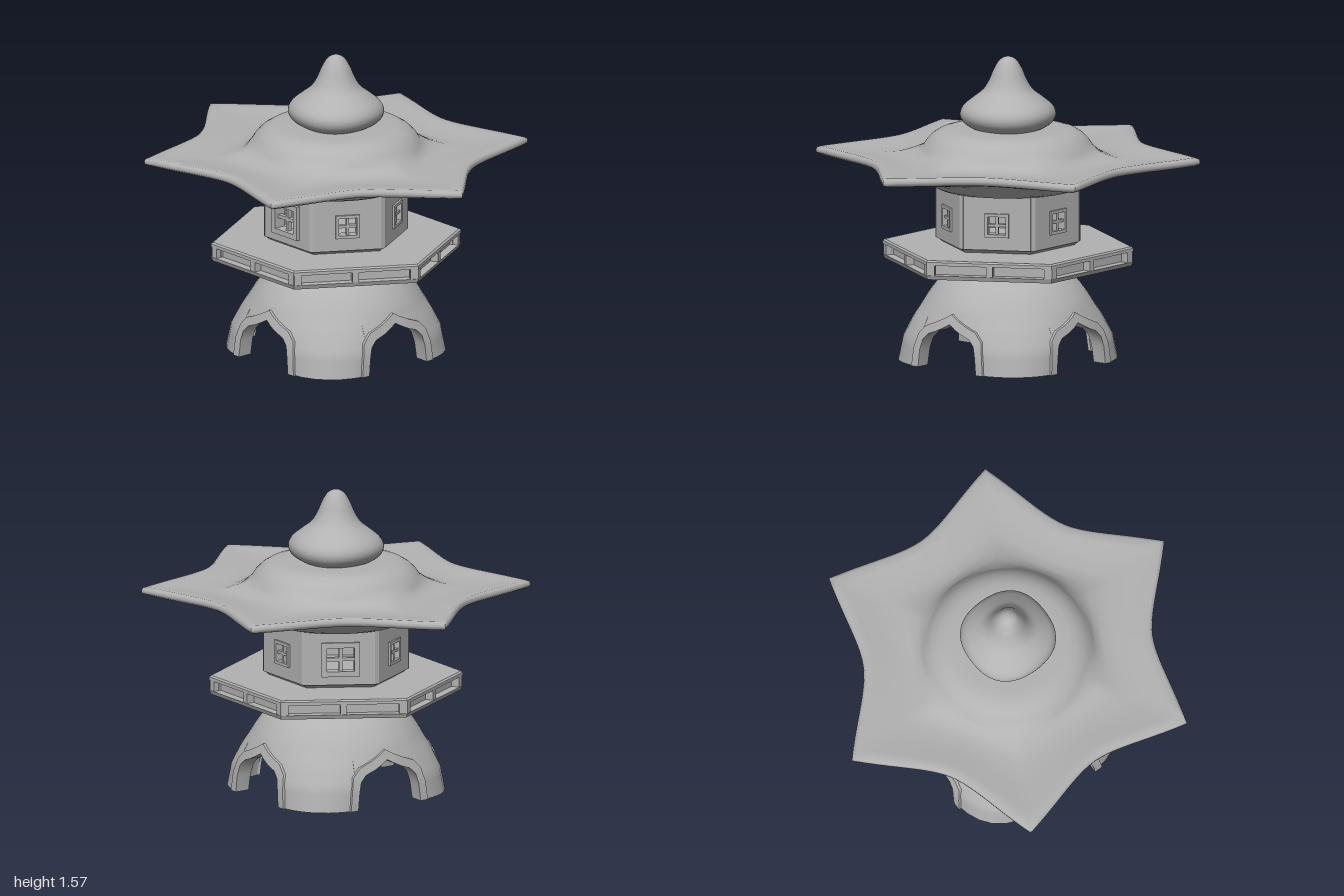
import * as THREE from 'three';
import { toCreasedNormals } from 'three/addons/utils/BufferGeometryUtils.js';

const stone = new THREE.MeshStandardMaterial({ color: 0xb2b2b2 });
stone.name = 'stone';

// piecewise-linear lookup through [key, value] pairs
function lookup(table, k) {
  if (k <= table[0][0]) return table[0][1];
  for (let i = 1; i < table.length; i++) {
    const [k0, v0] = table[i - 1], [k1, v1] = table[i];
    if (k <= k1) return v0 + (v1 - v0) * (k - k0) / (k1 - k0);
  }
  return table[table.length - 1][1];
}

const polar = (r, y, a) => new THREE.Vector3(r * Math.sin(a), y, r * Math.cos(a));

// skin a grid of cross-sections
function skin(cols, closeU, closeV, crease) {
  const nu = cols.length, nv = cols[0].length, index = [];
  for (let i = 0; i < nu - (closeU ? 0 : 1); i++) {
    for (let j = 0; j < nv - (closeV ? 0 : 1); j++) {
      const i2 = (i + 1) % nu, j2 = (j + 1) % nv;
      const a = i * nv + j, b = i2 * nv + j, c = i2 * nv + j2, d = i * nv + j2;
      index.push(a, b, c, a, c, d);
    }
  }
  const g = new THREE.BufferGeometry().setFromPoints(cols.flat());
  g.setIndex(index);
  g.computeVertexNormals();
  return toCreasedNormals(g, crease);
}

function add(parent, name, geometry) {
  const m = new THREE.Mesh(geometry, stone);
  m.name = name;
  parent.add(m);
  return m;
}

// six-sided slab with corners on the x axis
function hexSlab(parent, name, rTop, rBottom, y0, y1) {
  const g = new THREE.CylinderGeometry(rTop, rBottom, y1 - y0, 6).toNonIndexed();
  g.rotateY(Math.PI / 6).translate(0, (y0 + y1) / 2, 0);
  g.computeVertexNormals();
  return add(parent, name, g);
}

// Domed base: hollow shell on four legs, with a raised border round each arch
const domeProfile = [[0, 0.565], [0.12, 0.54], [0.22, 0.487], [0.28, 0.446], [0.34, 0.41], [0.39, 0.372],
  [0.43, 0.332], [0.455, 0.297], [0.47, 0.255], [0.478, 0.2]];
const archHalf = [[0.19, 0], [0.182, 0.09], [0.168, 0.145], [0.135, 0.178], [0.08, 0.198], [0.035, 0.22]];
const borderHalf = [[0.235, 0], [0.225, 0.1], [0.208, 0.17], [0.165, 0.215], [0.1, 0.24], [0.045, 0.265]];
const fullPath = (half, peak) => [...half.map(([x, y]) => [-x, y]), [0, peak], ...half.slice().reverse()];

// point on the dome wall, inset from its outer face; legs bulge at the diagonals.
// blend runs from the arch edge (0) to the next arch (1) for points on a leg
function domePoint(centre, x, y, inset, blend = 0, profileY = y) {
  const r = lookup(domeProfile, profileY) - inset;
  const flat = a => 1 - 0.155 * Math.max(0, 1 - y / 0.3) * Math.cos(2 * a) ** 2;
  const angle = radius => Math.asin(x / Math.max(radius, 0.36));
  let a = angle(r * flat(angle(r)));
  a += (Math.PI / 2 - 2 * a) * blend;
  return polar(r * flat(a), y, centre + a);
}

function buildBase(group) {
  const arch = fullPath(archHalf, 0.24), border = fullPath(borderHalf, 0.29);
  const cols = [], n = 16, edge = archHalf[0][0];
  for (let q = 0; q < 4; q++) {
    const centre = q * Math.PI / 2;
    const legs = [0.1, 0.2, 0.35, 0.5, 0.65, 0.8, 0.9].map(k => [edge, 0, k]);
    const stations = [...arch.map(([x, y]) => [x, y, 0]), ...legs];
    for (const [x, low, blend] of stations) {
      const col = [];
      for (let j = 0; j <= n; j++) col.push(domePoint(centre, x, low + (0.478 - low) * j / n, 0, blend));
      col.push(polar(0, 0.478, centre), polar(0, 0.41, centre));
      for (let j = n; j >= 0; j--) {
        const y = low + (0.41 - low) * j / n;
        col.push(domePoint(centre, x, y, 0.07, blend, y + 0.06 * j / n));
      }
      cols.push(col);
    }
    // raised arch border
    const ring = arch.map(([x, y], i) => {
      const [bx, by] = border[i];
      return [domePoint(centre, x, y, -0.009), domePoint(centre, bx, by, -0.014),
        domePoint(centre, bx, by, 0.05), domePoint(centre, x, y, 0.08)];
    });
    const cap = c => {
      const m = new THREE.Vector3();
      c.forEach(p => m.addScaledVector(p, 0.25));
      return c.map(() => m.clone());
    };
    add(group, 'archBorder', skin([cap(ring[0]), ...ring, cap(ring[ring.length - 1])], false, true, 0.6));
  }
  add(group, 'domedBase', skin(cols, true, true, 0.7));
  add(group, 'neck', new THREE.CylinderGeometry(0.26, 0.21, 0.025, 32).translate(0, 0.482, 0));
}

// Hexagonal platform with two recessed panels on each side
function buildPlatform(group) {
  hexSlab(group, 'platformFoot', 0.395, 0.375, 0.488, 0.503);
  hexSlab(group, 'platformCore', 0.6, 0.6, 0.505, 0.59);
  hexSlab(group, 'platformLowerRail', 0.652, 0.642, 0.5, 0.522);
  hexSlab(group, 'platformUpperRail', 0.652, 0.652, 0.575, 0.592);
  hexSlab(group, 'platformTop', 0.642, 0.652, 0.592, 0.6);
  for (let i = 0; i < 6; i++) {
    const side = new THREE.Group();
    side.name = 'platformSide';
    side.rotation.y = i * Math.PI / 3;
    for (const [x, w] of [[-0.303, 0.036], [0, 0.034], [0.303, 0.036]]) {
      add(side, 'platformPost', new THREE.BoxGeometry(w, 0.06, 0.05).translate(x, 0.548, 0.537));
    }
    group.add(side);
  }
}

function rect(shape, w, y0, y1) {
  return shape.moveTo(-w, y0).lineTo(w, y0).lineTo(w, y1).lineTo(-w, y1).lineTo(-w, y0);
}

// Hollow six-walled lantern chamber with latticed windows
function buildChamber(group) {
  hexSlab(group, 'chamberSill', 0.374, 0.345, 0.6, 0.622);
  for (let i = 0; i < 6; i++) {
    const big = i === 0 || i === 4;
    const hw = big ? 0.07 : 0.047, hh = big ? 0.062 : 0.046, rim = big ? 0.028 : 0.016;
    const out = i === 0 ? 0.02 : 0.01, yc = big ? 0.755 : 0.75;
    const side = new THREE.Group();
    side.name = 'chamberSide';
    side.rotation.y = i * Math.PI / 3;
    const wall = rect(new THREE.Shape(), 0.178, 0.62, 0.92);
    wall.holes.push(rect(new THREE.Path(), hw, yc - hh, yc + hh));
    add(side, 'wall', new THREE.ExtrudeGeometry(wall, { depth: 0.045, bevelEnabled: false }).translate(0, 0, 0.284));
    add(side, 'chamferedCorner', new THREE.BoxGeometry(0.025, 0.3, 0.05).translate(0, 0.77, 0.349).rotateY(Math.PI / 6));
    const frame = rect(new THREE.Shape(), hw + rim, yc - hh - rim, yc + hh + rim);
    frame.holes.push(rect(new THREE.Path(), hw, yc - hh, yc + hh));
    add(side, 'windowFrame', new THREE.ExtrudeGeometry(frame, { depth: out + 0.01, bevelEnabled: false }).translate(0, 0, 0.32));
    const bar = big ? 0.018 : 0.014;
    add(side, 'windowBar', new THREE.BoxGeometry(bar, hh * 2, 0.025).translate(0, yc, 0.318));
    add(side, 'windowBar', new THREE.BoxGeometry(hw * 2, bar, 0.025).translate(0, yc, 0.318));
    group.add(side);
  }
}

// Six-pointed roof; outer stations stretch towards the tips
function buildRoof(group) {
  const under = [[0, 0.9], [0.06, 0.912], [0.14, 0.945], [0.25, 0.968], [0.5, 0.992], [0.8, 1.017], [0.96, 1.031]];
  const over = [[1, 1.041], [1.004, 1.054], [0.995, 1.068], [0.96, 1.075], [0.85, 1.07], [0.65, 1.06], [0.45, 1.053],
    [0.32, 1.06], [0.22, 1.078]];
  const crown = [[0.437, 1.105], [0.418, 1.135], [0.39, 1.164], [0.355, 1.186], [0.315, 1.197], [0.26, 1.2], [0, 1.2]];
  const cols = [], n = 120;
  for (let i = 0; i < n; i++) {
    const t = i / n * Math.PI * 2;
    const third = Math.PI / 3;
    const fromValley = Math.abs(t / third - Math.round(t / third)) * 2; // 1 at a tip
    const edge = 0.746 + 0.252 * fromValley ** 1.9;
    const r = k => 0.37 + (edge - 0.37) * k;
    cols.push([polar(0, 0.9, t), ...under.map(([k, y]) => polar(r(k), y, t)),
      ...over.map(([k, y]) => polar(r(k), y, t)), ...crown.map(([c, y]) => polar(c, y, t))]);
  }
  add(group, 'roof', skin(cols, true, false, 1.3));
}

// Onion finial with a slightly squared plan
function buildFinial(group) {
  const pts = [[0.14, 1.19], [0.185, 1.208], [0.222, 1.24], [0.233, 1.28], [0.215, 1.32], [0.17, 1.36], [0.122, 1.4],
    [0.092, 1.45], [0.07, 1.505], [0.045, 1.55], [0.02, 1.569], [0, 1.573]].map(p => new THREE.Vector2(...p));
  const profile = new THREE.SplineCurve(pts).getPoints(40);
  profile.forEach(p => { p.x = Math.max(p.x, 0); });
  const g = new THREE.LatheGeometry(profile, 48), pos = g.attributes.position;
  for (let i = 0; i < pos.count; i++) {
    const x = pos.getX(i), z = pos.getZ(i);
    const s = 1 + 0.03 * (1 - Math.cos(4 * Math.atan2(x, z)));
    pos.setXYZ(i, x * s, pos.getY(i), z * s);
  }
  add(group, 'finial', g);
}

export function createModel() {
  const model = new THREE.Group();
  model.name = 'stoneLantern';
  for (const [name, build] of [['base', buildBase], ['platform', buildPlatform], ['chamber', buildChamber],
    ['roofGroup', buildRoof], ['finialGroup', buildFinial]]) {
    const part = new THREE.Group();
    part.name = name;
    build(part);
    model.add(part);
  }
  return model;
}
